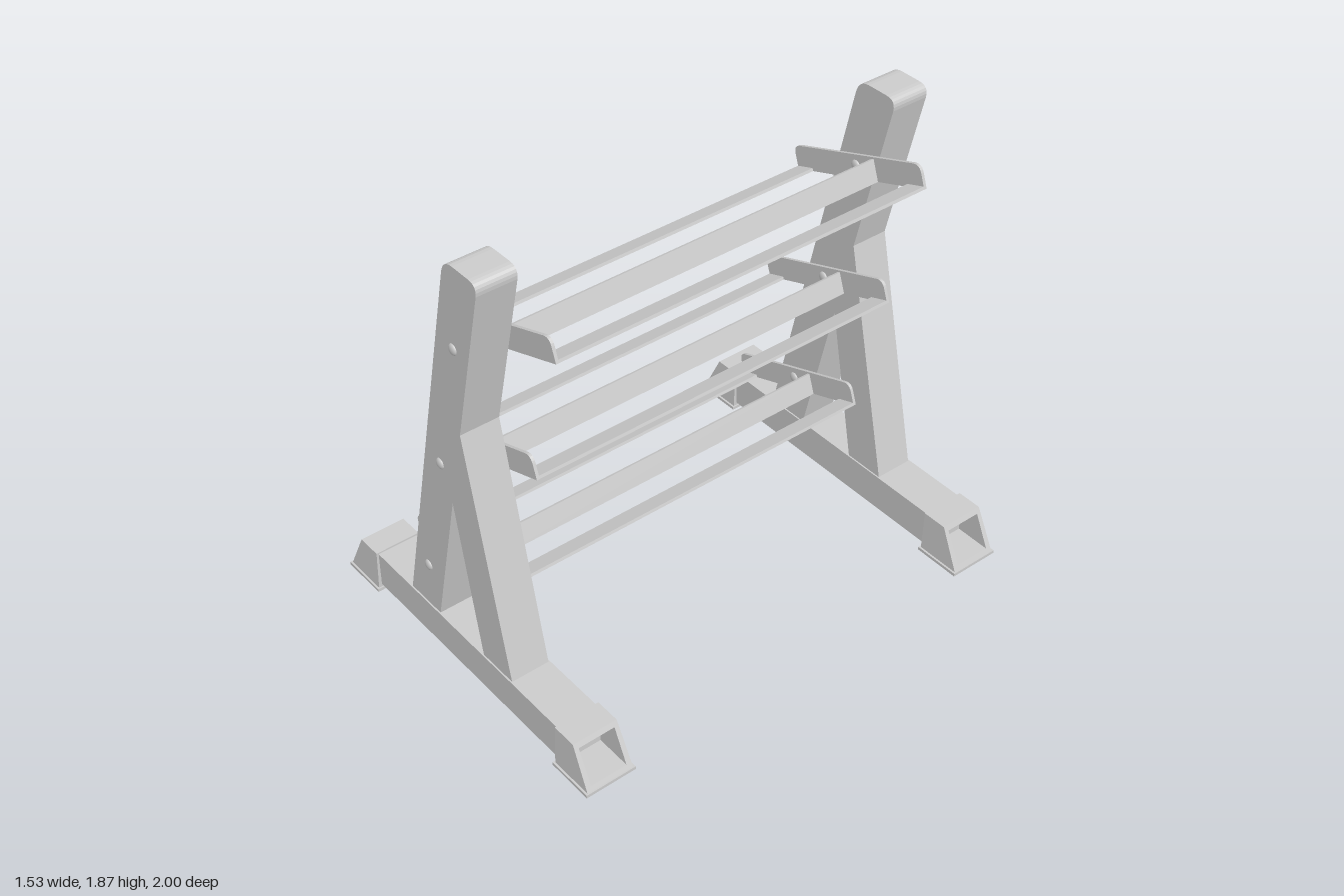
import * as THREE from 'three';

const mat = new THREE.MeshStandardMaterial({ color: 0xcccccc });
const SIDE_Z = 0.892;      // centre of each upright frame
const POST_D = 0.16;       // post depth
const PLATE_Z = 0.80;      // inner face of the tier plates
const TILT = Math.atan2(0.235, 0.655);

function add(parent, name, geometry, x = 0, y = 0, z = 0) {
  const m = new THREE.Mesh(geometry, mat);
  m.name = name;
  m.position.set(x, y, z);
  parent.add(m);
  return m;
}

function extrude(shape, depth) {
  return new THREE.ExtrudeGeometry(shape, { depth, bevelEnabled: false, curveSegments: 6 })
    .translate(0, 0, -depth / 2);
}

// Inverted-Y post with a rounded top
function postGeometry() {
  const s = new THREE.Shape();
  s.moveTo(-0.345, 0.175);
  s.lineTo(-0.16, 0.175);
  s.lineTo(-0.01, 0.815);
  s.lineTo(0.12, 0.175);
  s.lineTo(0.295, 0.175);
  s.lineTo(0.072, 1.17);
  s.lineTo(0.228, 1.825);
  s.quadraticCurveTo(0.237, 1.873, 0.19, 1.873);
  s.lineTo(0.1, 1.873);
  s.quadraticCurveTo(0.05, 1.873, 0.036, 1.82);
  return extrude(s, POST_D);
}

// Tier end plate, upper corners rounded
function plateGeometry() {
  const L = 0.695, H = 0.095, r = 0.035;
  const s = new THREE.Shape();
  s.moveTo(0, 0);
  s.lineTo(L, 0);
  s.lineTo(L, H - r);
  s.quadraticCurveTo(L, H, L - r, H);
  s.lineTo(r, H);
  s.quadraticCurveTo(0, H, 0, H - r);
  return extrude(s, 0.012);
}

// Surface through four-cornered rings running along +x
function loft(rings) {
  const pos = rings.flat(2), index = [];
  for (let i = 0; i < rings.length - 1; i++) {
    for (let j = 0; j < 4; j++) {
      const a = i * 4 + j, b = i * 4 + (j + 1) % 4;
      index.push(a, b, b + 4, a, b + 4, a + 4);
    }
  }
  let g = new THREE.BufferGeometry();
  g.setAttribute('position', new THREE.Float32BufferAttribute(pos, 3));
  g.setIndex(index);
  g = g.toNonIndexed();
  g.computeVertexNormals();
  return g;
}

// Foot boot: sloped end with a recessed pocket
function bootGeometry() {
  const slope = y => 0.675 + (0.186 - y) * 0.48;
  const back = () => 0.57, floor = () => 0.6;
  const ring = (fx, y0, y1, w0, w1) => [
    [fx(y0), y0, w0], [fx(y0), y0, -w0], [fx(y1), y1, -w1], [fx(y1), y1, w1]];
  return loft([
    ring(back, 0.1, 0.1, 0, 0),
    ring(back, 0.008, 0.186, 0.1, 0.095),
    ring(slope, 0.008, 0.186, 0.1, 0.095),
    ring(slope, 0.03, 0.166, 0.078, 0.078),
    ring(floor, 0.03, 0.166, 0.078, 0.078),
    ring(floor, 0.1, 0.1, 0, 0),
  ]);
}

export function createModel() {
  const root = new THREE.Group();
  root.name = 'storageRack';
  const post = postGeometry(), plate = plateGeometry(), boot = bootGeometry();
  const bolt = new THREE.SphereGeometry(0.022, 16, 10).scale(1, 1, 0.5);
  const tiers = [0, 1, 2].map(i => ({ x: -0.14 * i, y: -0.574 * i }));

  // Two upright frames
  for (const side of [1, -1]) {
    const frame = new THREE.Group();
    frame.name = side > 0 ? 'frontFrame' : 'backFrame';
    frame.position.z = side * SIDE_Z;
    root.add(frame);
    add(frame, 'post', post);
    add(frame, 'baseBeam', new THREE.BoxGeometry(1.16, 0.153, 0.172), 0, 0.1025, 0);
    for (const end of [1, -1]) {
      add(frame, 'footBoot', boot).rotation.y = end > 0 ? 0 : Math.PI;
      add(frame, 'footFlange', new THREE.BoxGeometry(0.2, 0.013, 0.216), end * 0.664, 0.0065, 0);
    }
    for (const t of tiers) {
      add(frame, 'outerBolt', bolt, 0.07 + t.x, 1.53 + t.y, side * POST_D / 2);
      add(frame, 'innerBolt', bolt, 0.07 + t.x, 1.53 + t.y, side * (PLATE_Z - SIDE_Z));
    }
  }

  // Three tilted tiers: end plates, two flat rails and an upright stop rail
  for (const t of tiers) {
    const tier = new THREE.Group();
    tier.name = 'tier';
    tier.position.set(-0.235 + t.x, 1.365 + t.y, 0);
    tier.rotation.z = TILT;
    root.add(tier);
    for (const side of [1, -1]) add(tier, 'endPlate', plate, 0, 0, side * (PLATE_Z + 0.006));
    const span = PLATE_Z * 2;
    const flat = new THREE.BoxGeometry(0.085, 0.012, span);
    add(tier, 'lowerRail', flat, 0.0425, 0.006, 0);
    add(tier, 'upperRail', flat, 0.6525, 0.006, 0);
    add(tier, 'stopRail', new THREE.BoxGeometry(0.012, 0.088, span), 0.444, 0.044, 0);
  }
  return root;
}
